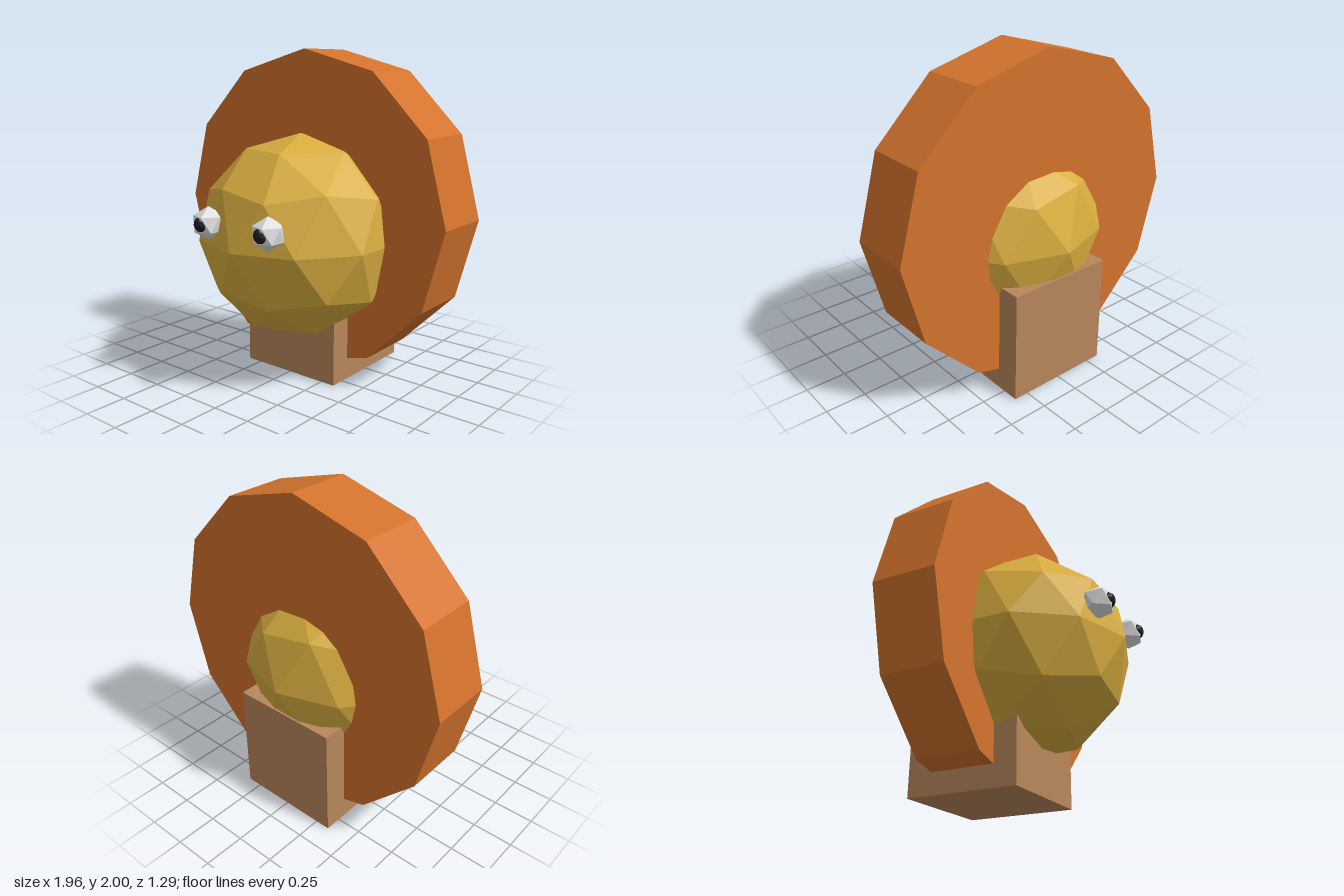
import * as THREE from 'three';

const mat = (name, color) => {
  const m = new THREE.MeshStandardMaterial({ color });
  m.name = name;
  return m;
};

// Faceted ball with one corner pointing straight up
function facetedBall(radius, detail) {
  const g = new THREE.IcosahedronGeometry(radius, detail);
  g.rotateX(-Math.atan((1 + Math.sqrt(5)) / 2));
  g.rotateY(Math.PI / 2);
  g.computeVertexNormals();
  return g;
}

export function createModel() {
  const model = new THREE.Group();
  model.name = 'manedCreature';

  const gold = mat('gold', 0xd9ae3f);
  const orange = mat('orange', 0xd4732d);
  const tan = mat('tan', 0xb8875b);
  const white = mat('white', 0xe2e2e2);
  const black = mat('black', 0x1b1b22);

  const add = (name, geometry, material, x, y, z) => {
    const mesh = new THREE.Mesh(geometry, material);
    mesh.name = name;
    mesh.position.set(x, y, z);
    model.add(mesh);
  };

  // Head
  add('head', facetedBall(0.63, 1), gold, -0.003, 0.87, -0.02);

  // Twelve-sided mane disc, standing upright
  const disc = new THREE.CylinderGeometry(0.98, 0.98, 0.4, 12).rotateX(Math.PI / 2).toNonIndexed();
  disc.computeVertexNormals();
  add('mane', disc, orange, 0, 1.02, -0.25);

  // Block body
  add('body', new THREE.BoxGeometry(0.685, 0.69, 0.69), tan, 0, 0.345, -0.255);

  // Eyes and pupils
  for (const [side, s] of [['left', 1], ['right', -1]]) {
    add(side + 'Eye', facetedBall(0.1, 0), white, s * 0.23, 1.005, 0.545);
    add(side + 'Pupil', facetedBall(0.05, 1), black, s * 0.23, 1.005, 0.595);
  }

  return model;
}
